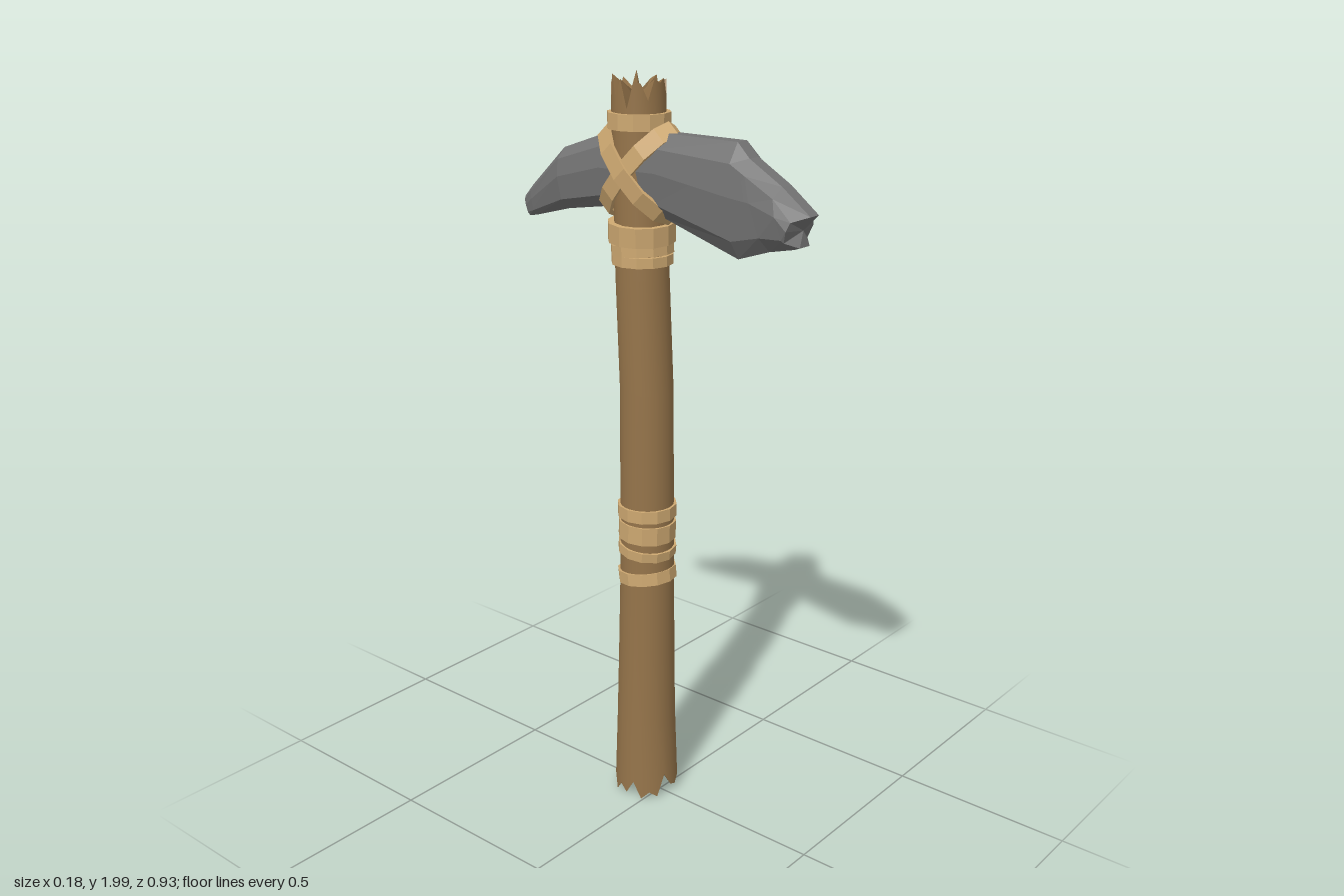
import * as THREE from 'three';
import { toCreasedNormals } from 'three/addons/utils/BufferGeometryUtils.js';

const wood = new THREE.MeshStandardMaterial({ color: 0x95744a });
wood.name = 'wood';
const stone = new THREE.MeshStandardMaterial({ color: 0x737373 });
stone.name = 'stone';
const cord = new THREE.MeshStandardMaterial({ color: 0xcda871 });
cord.name = 'cord';

// Skin a list of closed rings that all have the same number of points
function loft(rings, crease) {
  const n = rings[0].length;
  const index = [];
  for (let j = 0; j < rings.length - 1; j++) {
    for (let i = 0; i < n; i++) {
      const k = (i + 1) % n;
      const a = j * n + i, b = j * n + k, c = b + n, d = a + n;
      index.push(a, b, d, b, c, d);
    }
  }
  const geo = new THREE.BufferGeometry();
  geo.setAttribute('position', new THREE.Float32BufferAttribute(rings.flat().flatMap(p => p.toArray()), 3));
  geo.setIndex(index);
  return toCreasedNormals(geo, crease);
}

function addMesh(parent, name, geo, material) {
  const mesh = new THREE.Mesh(geo, material);
  mesh.name = name;
  parent.add(mesh);
  return mesh;
}

// Bent, flared shaft with splintered ends
const SIDES = 24;
const bottomEdge = [.04, .03, .045, .035, .03, .05, .02, .22, .03, .17, .01, .06, .02, .07, .015, .05, .01, .04, .02, .06, .01, .03, .015, .08];
const topEdge = [1.98, 1.99, 1.95, 1.985, 1.98, 1.92, 1.99, 1.98, 1.91, 2, 1.94, 1.985, 1.93, 1.99, 1.98, 1.93, 2, 1.95, 1.99, 1.92, 1.985, 1.98, 1.94, 1.99];

function handleGeometry() {
  const ring = (z, r, y) => Array.from({ length: SIDES }, (_, i) => {
    const a = i / SIDES * Math.PI * 2;
    return new THREE.Vector3(r * Math.sin(a), y(i), z + r * Math.cos(a));
  });
  const body = [[.25, -.05, .081], [.45, -.048, .077], [.7, -.045, .073], [1.2, -.045, .07], [1.5, -.058, .069], [1.88, -.067, .068]];
  return loft([
    ring(-.05, 0, () => .07),
    ring(-.05, .062, i => .05 + bottomEdge[i] * .3),
    ring(-.05, .088, i => bottomEdge[i]),
    ...body.map(([y, z, r]) => ring(z, r, () => y)),
    ring(-.068, .068, i => topEdge[i]),
    ring(-.068, .022, i => 1.95 + (i % 2) * .012),
    ring(-.068, .02, () => 1.955),
    ring(-.068, 0, () => 1.955),
  ], .6);
}

// Chipped stone head: back spike to front blunt end
function headGeometry() {
  // zTop, yTop, zBottom, yBottom, half width, side setback
  const sections = [
    [-.465, 1.655, -.45, 1.605, .01, 0],
    [-.43, 1.69, -.42, 1.61, .022, 0],
    [-.305, 1.8, -.29, 1.645, .055, 0],
    [-.16, 1.85, -.15, 1.668, .056, 0],
    [.03, 1.865, .03, 1.66, .06, 0],
    [.25, 1.865, .26, 1.59, .06, 0],
    [.285, 1.83, .35, 1.62, .06, 0],
    [.38, 1.775, .42, 1.635, .06, .01],
    [.46, 1.715, .435, 1.64, .056, .03],
  ];
  const half = [[.3, 0], [.85, .17], [1, .45], [.85, .83], [.35, 1]];
  const outline = [...half.map(([x, t]) => [-x, t]), ...half.map(([x, t]) => [x, t]).reverse()];
  const rings = sections.map(([zt, yt, zb, yb, w, back]) => outline.map(([x, t]) =>
    new THREE.Vector3(x * w, yt + (yb - yt) * t, zt + (zb - zt) * t - (Math.abs(x) > .5 ? back : 0))));
  // Close both ends on their centres
  const cap = ring => {
    const c = ring.reduce((s, p) => s.add(p), new THREE.Vector3()).divideScalar(ring.length);
    return ring.map(() => c.clone());
  };
  return loft([cap(rings[0]), ...rings, cap(rings[rings.length - 1])], .05);
}

// Flat cord ring with a rectangular section
function bandGeometry(r, h, thick) {
  const profile = [[r - thick, -h / 2], [r, -h / 2], [r, h / 2], [r - thick, h / 2], [r - thick, -h / 2]];
  return new THREE.LatheGeometry(profile.map(([x, y]) => new THREE.Vector2(x, y)), 12);
}

export function createModel() {
  const model = new THREE.Group();
  model.name = 'stonePick';
  addMesh(model, 'handle', handleGeometry(), wood);
  addMesh(model, 'head', headGeometry(), stone);

  // Wraps around the shaft: y, z, radius, height, tilt about x, tilt about z
  const wraps = {
    gripWrap: [[.866, -.045, .08, .034, 0, 0], [.812, -.045, .078, .05, .04, 0], [.757, -.045, .079, .026, .12, .03], [.68, -.045, .08, .034, -.12, 0]],
    lowerHeadWrap: [[1.615, -.06, .087, .05, .04, .05], [1.572, -.058, .081, .026, -.05, 0], [1.546, -.058, .08, .026, 0, 0]],
    upperHeadWrap: [[1.888, -.067, .08, .04, 0, 0]],
  };
  for (const [name, bands] of Object.entries(wraps)) {
    const group = new THREE.Group();
    group.name = name;
    model.add(group);
    bands.forEach(([y, z, r, h, tx, tz], i) => {
      const band = addMesh(group, name + 'Band' + (i + 1), toCreasedNormals(bandGeometry(r, h, .016), .1), cord);
      band.position.set(0, y, z);
      band.rotation.set(tx, 0, tz);
    });
  }

  // Two slanted loops crossing on each side of the head
  const lashing = new THREE.Group();
  lashing.name = 'crossLashing';
  model.add(lashing);
  for (const side of [-1, 1]) {
    const geo = bandGeometry(1, .045, .1);
    geo.scale(side > 0 ? .086 : .082, 1, .152);
    const strap = addMesh(lashing, side > 0 ? 'risingStrap' : 'fallingStrap', toCreasedNormals(geo, .1), cord);
    strap.position.set(0, 1.765, -.06);
    strap.rotation.x = side * .82;
  }
  return model;
}
